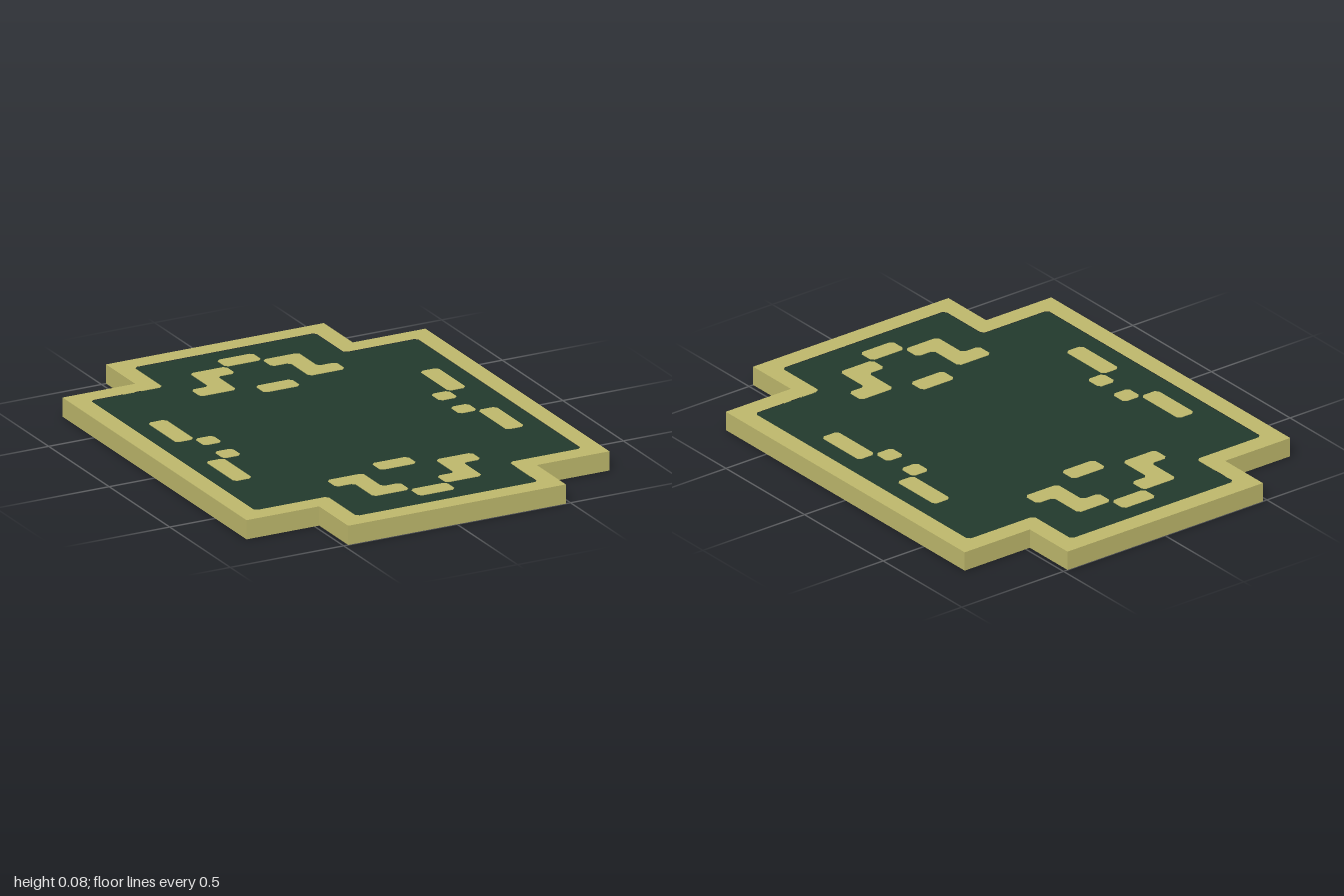
import * as THREE from 'three';

const H = 0.08;      // slab height
const INLAY = 0.002; // depth of the painted marks

// Plus-shaped outline: a tall block (a x b) crossed with a wide block (c x d)
const plus = (a, b, c, d) => [
  [a, b], [a, d], [c, d], [c, -d], [a, -d], [a, -b],
  [-a, -b], [-a, -d], [-c, -d], [-c, d], [-a, d], [-a, b],
];

const rect = (x0, y0, x1, y1) => [[x0, y0], [x1, y0], [x1, y1], [x0, y1]];

// Cuts every corner of a polygon by the distance c
function chamfer(points, c = 0.013) {
  const v = points.map(([x, y]) => new THREE.Vector2(x, y));
  const n = v.length;
  return v.flatMap((p, i) => [v[(i + n - 1) % n], v[(i + 1) % n]].map(
    (q) => p.clone().add(q.clone().sub(p).setLength(c))));
}

// Extrudes a flat shape upwards from height y
function slab(shape, y, depth) {
  const g = new THREE.ExtrudeGeometry(shape, { depth, bevelEnabled: false });
  return g.rotateX(-Math.PI / 2).translate(0, y, 0);
}

export function createModel() {
  const gold = new THREE.MeshStandardMaterial({ name: 'gold', color: 0xbdb76b });
  const green = new THREE.MeshStandardMaterial({ name: 'darkGreen', color: 0x22392c });
  const model = new THREE.Group();
  model.name = 'rug';

  const add = (name, geometry, material, parent = model) => {
    const mesh = new THREE.Mesh(geometry, material);
    mesh.name = name;
    parent.add(mesh);
  };

  // Border with the field cut out of it
  const field = chamfer(plus(0.4, 0.92, 0.72, 0.68));
  const border = new THREE.Shape(plus(0.48, 1, 0.8, 0.76).map(([x, y]) => new THREE.Vector2(x, y)));
  border.holes.push(new THREE.Path(field));
  add('border', slab(border, 0, H), gold);

  // Dark field, sunk by the depth of the marks on both faces
  add('field', slab(new THREE.Shape(field), INLAY, H - 2 * INLAY), green);

  // Marks of one quarter, repeated by mirroring
  const central = {
    crest: rect(-0.08, 0.76, 0.08, 0.84),
    dash: rect(-0.08, 0.44, 0.08, 0.52),
  };
  const quarter = {
    hook: [[0.08, 0.76], [0.24, 0.76], [0.24, 0.6], [0.32, 0.6],
      [0.32, 0.52], [0.16, 0.52], [0.16, 0.68], [0.08, 0.68]],
    bar: rect(0.56, 0.12, 0.64, 0.36),
    dot: rect(0.48, 0.04, 0.56, 0.12),
  };
  const marks = new THREE.Group();
  marks.name = 'marks';
  model.add(marks);

  const addMarks = (set, sx, sy) => {
    for (const [name, points] of Object.entries(set)) {
      const shape = new THREE.Shape(chamfer(points.map(([x, y]) => [x * sx, y * sy])));
      add(name + 'Top', slab(shape, H - INLAY, INLAY), gold, marks);
      add(name + 'Bottom', slab(shape, 0, INLAY), gold, marks);
    }
  };
  for (const sy of [1, -1]) {
    addMarks(central, 1, sy);
    for (const sx of [1, -1]) addMarks(quarter, sx, sy);
  }
  return model;
}
